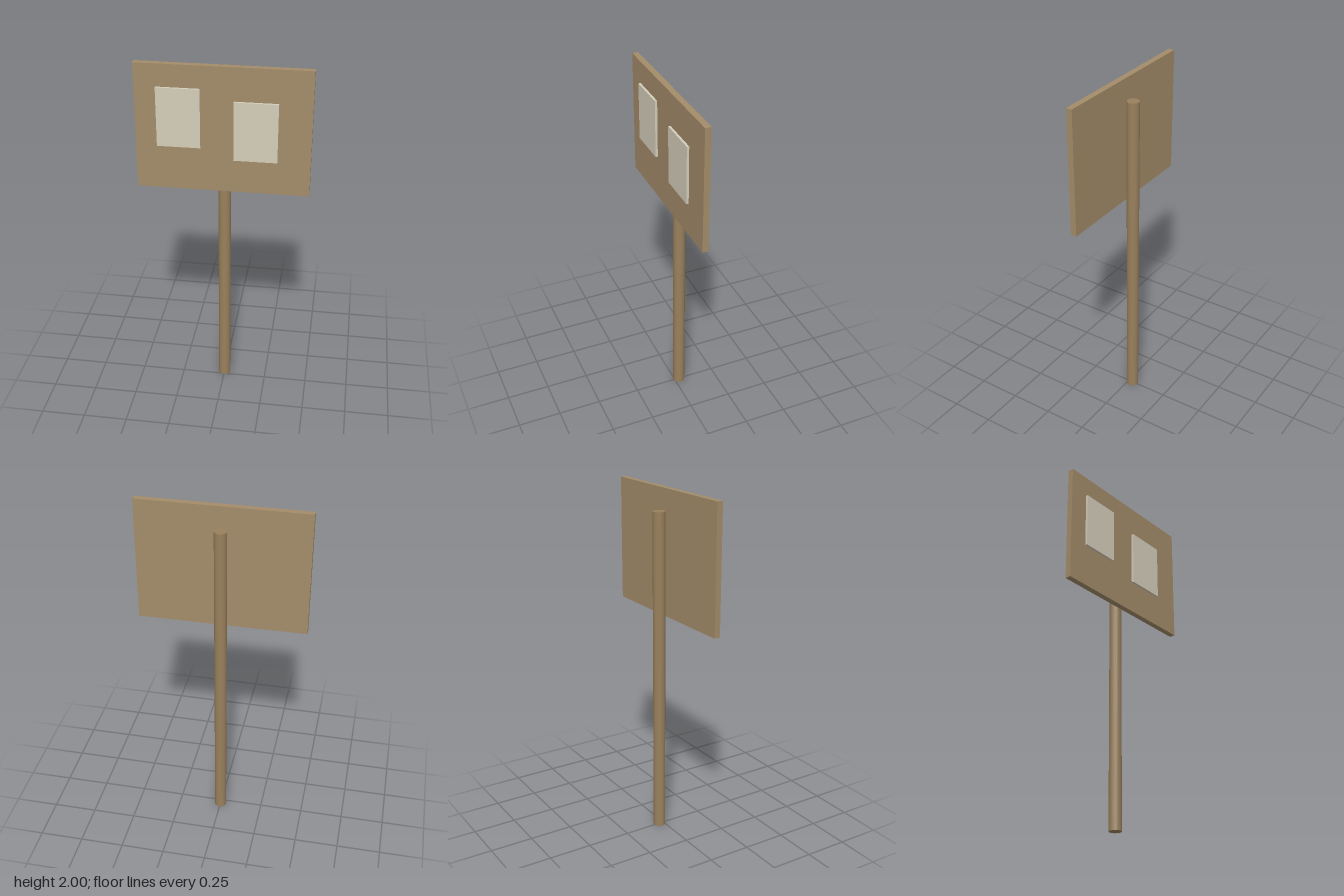
import * as THREE from 'three';

export function createModel() {
  const model = new THREE.Group();
  const material = (color) => new THREE.MeshStandardMaterial({ color });
  const wood = material(0xa38c69);
  const darkWood = material(0x99805c);
  const paper = material(0xd4cdba);

  const add = (name, geometry, mat, x, y, z) => {
    const mesh = new THREE.Mesh(geometry, mat);
    mesh.name = name;
    mesh.position.set(x, y, z);
    model.add(mesh);
  };

  // Round post standing just behind the board
  add('post', new THREE.CylinderGeometry(0.035, 0.035, 1.882, 16), darkWood, 0, 0.941, -0.027);

  // Flat notice board
  add('board', new THREE.BoxGeometry(0.94, 0.706, 0.034), wood, 0, 1.647, 0.031);

  // Two notices on the front, hung at different heights
  const notice = new THREE.BoxGeometry(0.235, 0.33, 0.014);
  add('rightNotice', notice, paper, -0.236, 1.71, 0.054);
  add('leftNotice', notice, paper, 0.176, 1.65, 0.054);

  return model;
}
